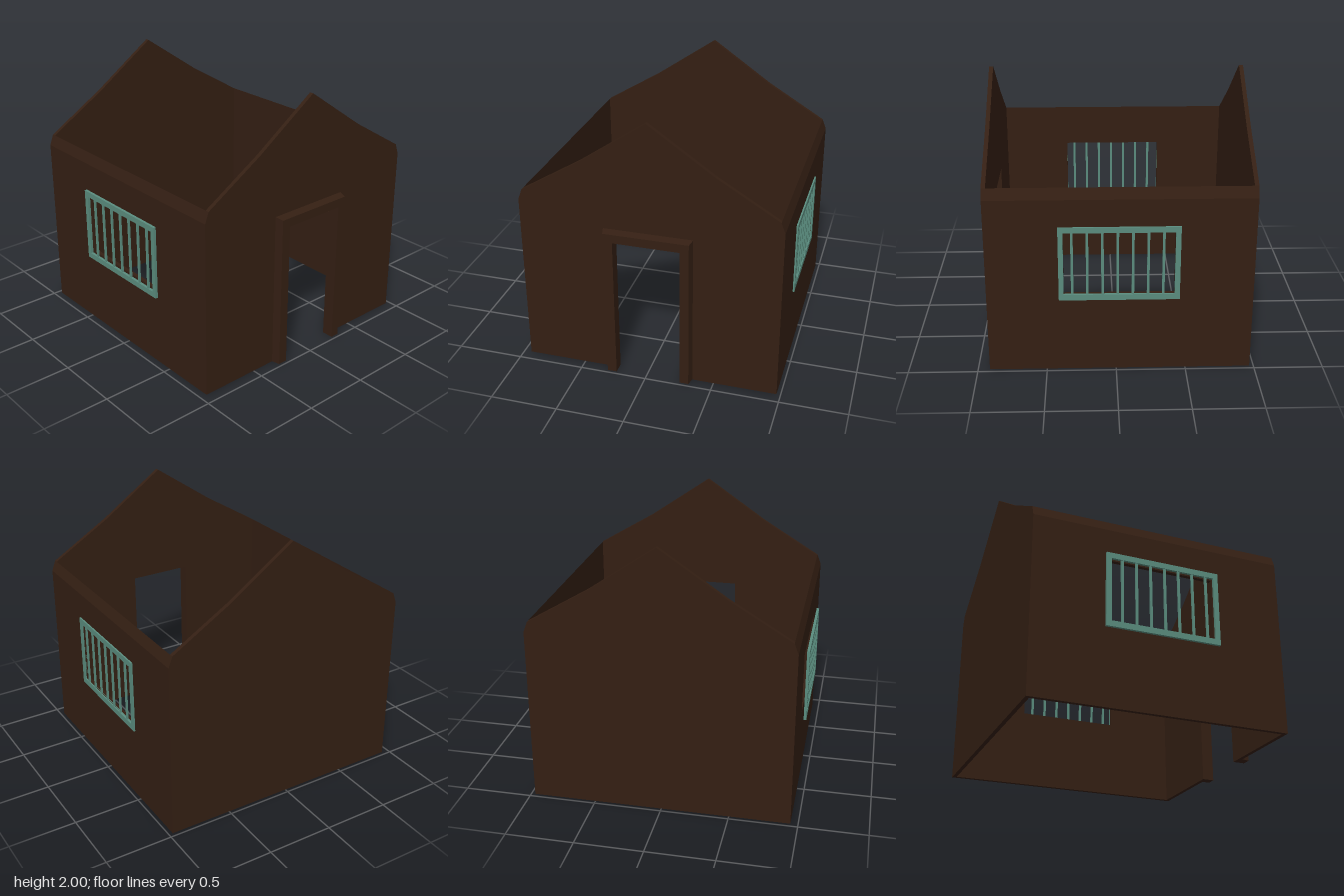
import * as THREE from 'three';

const wood = new THREE.MeshStandardMaterial({ color: 0x341f13, side: THREE.DoubleSide });
const paint = new THREE.MeshStandardMaterial({ color: 0x5a8c7e });

// Outer faces of the house and wall thickness
const X0 = -0.945, X1 = 0.97, FRONT = 0.915, BACK = -0.97, T = 0.03;
const EAVE = 1.4, CHAMFER = 1.32;
const DOOR = { x0: -0.23, x1: 0.26, y: 1.1 };
const WIN = { z0: -0.41, z1: 0.37, y0: 0.605, y1: 1.078 };

const shapeOf = (pts) => new THREE.Shape(pts.map(([x, y]) => new THREE.Vector2(x, y)));
const rect = (a, b, c, d) => [[a, b], [c, b], [c, d], [a, d]];
const extrude = (shape, depth) => new THREE.ExtrudeGeometry(shape, { depth, bevelEnabled: false });

function withHole(outer, hole) {
  const shape = shapeOf(outer);
  shape.holes.push(new THREE.Path(hole.map(([x, y]) => new THREE.Vector2(x, y))));
  return shape;
}

function add(parent, name, geometry, material) {
  const mesh = new THREE.Mesh(geometry, material);
  mesh.name = name;
  parent.add(mesh);
  return mesh;
}

// Gable outline, with an optional doorway cut up from the ground
function gableShape(door) {
  const pts = [
    [X1, 0], [X1, CHAMFER], [X1 - T, EAVE], [0.49, 1.67], [0.012, 2],
    [-0.47, 1.67], [X0 + T, EAVE], [X0, CHAMFER], [X0, 0],
  ];
  if (door) pts.push([DOOR.x0, 0], [DOOR.x0, DOOR.y], [DOOR.x1, DOOR.y], [DOOR.x1, 0]);
  return shapeOf(pts);
}

// Door surround: a U-shaped trim whose outer edge narrows toward the front
function doorFrame() {
  const a = -0.318, b = 0.343, top = 1.18, mid = (a + b) / 2, depth = 0.075;
  const geo = extrude(shapeOf([
    [b, 0], [b, top], [a, top], [a, 0],
    [DOOR.x0, 0], [DOOR.x0, DOOR.y], [DOOR.x1, DOOR.y], [DOOR.x1, 0],
  ]), depth);
  const p = geo.attributes.position;
  for (let i = 0; i < p.count; i++) {
    if (p.getZ(i) < depth / 2) continue;
    if (Math.abs(p.getX(i) - mid) > 0.3) p.setX(i, mid + (p.getX(i) - mid) * 0.945);
    if (p.getY(i) > 1.15) p.setY(i, top - 0.014);
  }
  geo.computeVertexNormals();
  return geo.translate(0, 0, 0.9);
}

// Barred window, drawn in the z-y plane and centred on x = 0
function barredWindow(name) {
  const group = new THREE.Group();
  group.name = name;
  const depth = 0.02;
  const ring = withHole(rect(-0.447, 0.562, 0.405, 1.12), rect(WIN.z0, WIN.y0, WIN.z1, WIN.y1));
  add(group, 'windowFrame', extrude(ring, depth).rotateY(-Math.PI / 2).translate(depth / 2, 0, 0), paint);
  const height = WIN.y1 - WIN.y0 + 0.01;
  for (let i = -3; i <= 3; i++) {
    const bar = add(group, 'windowBar', new THREE.BoxGeometry(0.012, height, 0.018), paint);
    bar.position.set(0, (WIN.y0 + WIN.y1) / 2, -0.01 + i * 0.1065);
  }
  return group;
}

export function createModel() {
  const house = new THREE.Group();
  house.name = 'house';

  // Gable walls
  add(house, 'frontWall', extrude(gableShape(true), T).translate(0, 0, FRONT - T), wood);
  add(house, 'backWall', extrude(gableShape(false), T).translate(0, 0, BACK), wood);
  add(house, 'doorFrame', doorFrame(), wood);

  // Side walls with window openings, each topped by a slanted edge
  const zA = BACK + T, zB = FRONT - T;
  const side = withHole(rect(zA, 0, zB, CHAMFER), rect(WIN.z0, WIN.y0, WIN.z1, WIN.y1));
  for (const [name, outer, inner] of [['left', X1, X1 - T], ['right', X0, X0 + T]]) {
    const wall = extrude(side, T).rotateY(-Math.PI / 2).translate(Math.max(outer, inner), 0, 0);
    add(house, name + 'Wall', wall, wood);
    const edge = shapeOf([[inner, CHAMFER], [outer, CHAMFER], [inner, EAVE]]);
    add(house, name + 'WallTop', extrude(edge, zB - zA).translate(0, 0, zA), wood);
  }

  // Windows
  const leftWindow = barredWindow('leftWindow');
  leftWindow.position.x = 0.972;
  const rightWindow = barredWindow('rightWindow');
  rightWindow.position.x = -0.974;
  house.add(leftWindow, rightWindow);

  return house;
}
